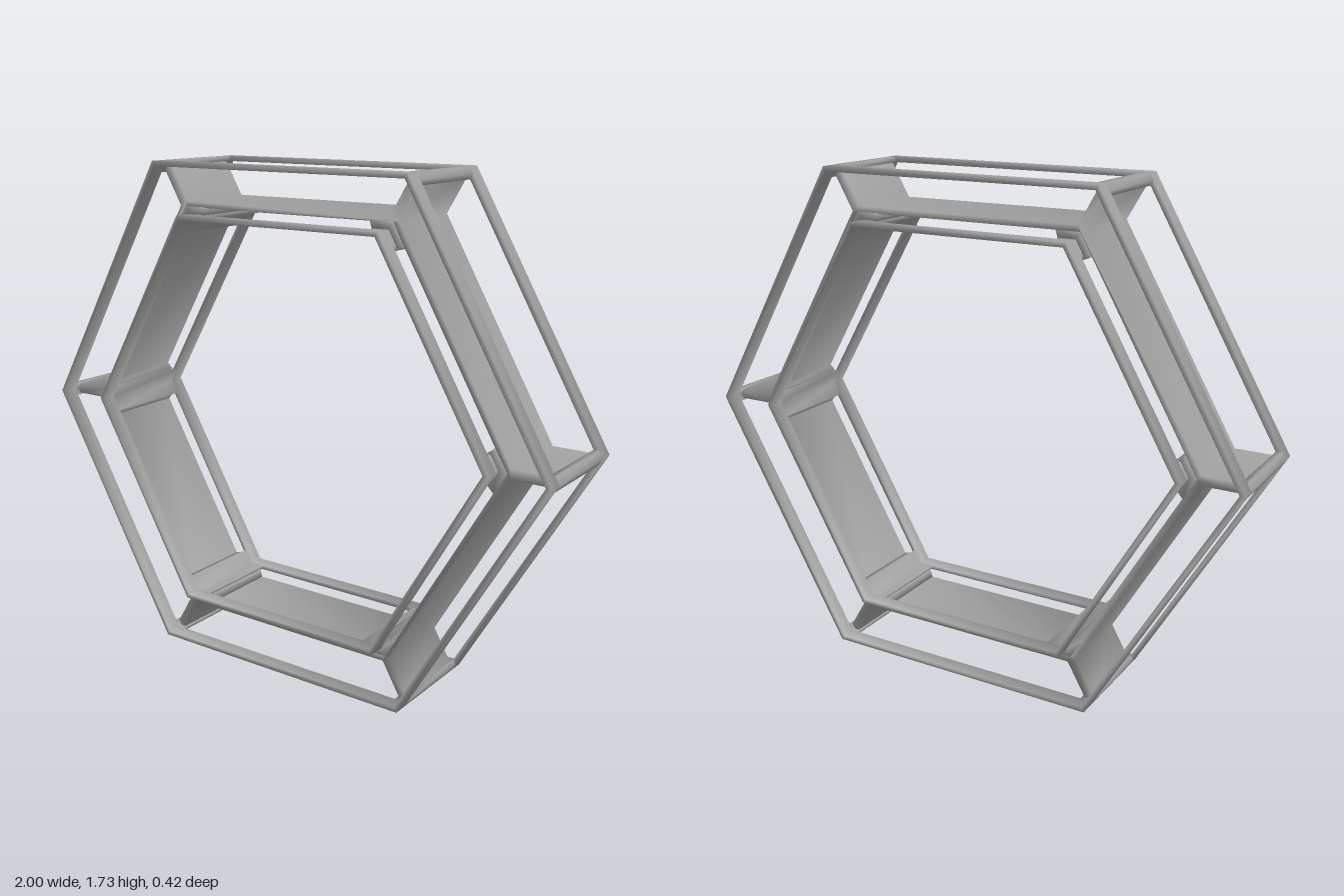
import * as THREE from 'three';
import { mergeVertices } from 'three/addons/utils/BufferGeometryUtils.js';

const C = Math.cos(Math.PI / 6);
const CY = C; // height of the hexagon's centre

// Repeats the points of one corner (pointing along +x) around all six corners
function aroundHexagon(points) {
  const result = [];
  for (let i = 0; i < 6; i++) {
    for (const [x, y] of points) {
      result.push(new THREE.Vector2(x, y).rotateAround(new THREE.Vector2(), (i * Math.PI) / 3));
    }
  }
  return result;
}

// Hexagon outline with a flat top, sized by the distance to its sides
const hexagon = (apothem) => aroundHexagon([[apothem / C, 0]]);

// Extrusion along z whose normals run smoothly over every edge
function smoothExtrude(shape, z0, z1) {
  const geometry = new THREE.ExtrudeGeometry(shape, { depth: z1 - z0, bevelEnabled: false });
  geometry.deleteAttribute('normal');
  geometry.deleteAttribute('uv');
  const merged = mergeVertices(geometry.translate(0, 0, z0), 1e-5);
  merged.computeVertexNormals();
  return merged;
}

export function createModel() {
  const model = new THREE.Group();
  const material = new THREE.MeshStandardMaterial({ color: 0x9c9c9c });

  const add = (name, geometry, angle = 0) => {
    const mesh = new THREE.Mesh(geometry, material);
    mesh.name = name;
    mesh.position.y = CY;
    mesh.rotation.z = angle;
    model.add(mesh);
  };

  // Band between an outline and a hexagonal opening
  const band = (name, outline, inner, z0, z1) => {
    const shape = new THREE.Shape(outline);
    shape.holes.push(new THREE.Path(hexagon(inner)));
    add(name, smoothExtrude(shape, z0, z1));
  };

  // V-shaped pieces wrapping each corner; lengths run along the two sides
  const cornerPieces = (name, inner, outer, innerLength, outerLength, halfDepth) => {
    const end = (apothem, length, side) =>
      new THREE.Vector2(apothem / C - length / 2, side * length * C);
    const shape = new THREE.Shape([
      end(inner, 0, 1),
      end(inner, innerLength, -1),
      end(outer, outerLength, -1),
      end(outer, 0, 1),
      end(outer, outerLength, 1),
      end(inner, innerLength, 1),
    ]);
    const geometry = smoothExtrude(shape, -halfDepth, halfDepth);
    for (let i = 0; i < 6; i++) add(name, geometry, (i * Math.PI) / 3);
  };

  // Outer and inner window frames: front and back rings joined by corner bars
  for (const [name, inner, outer, border] of [
    ['outer', C - 0.017, C, 0.027],
    ['inner', 0.674, 0.69, 0.055],
  ]) {
    band(name + 'FrontRing', hexagon(outer), inner, 0.16, 0.21);
    band(name + 'BackRing', hexagon(outer), inner, -0.21, -0.16);
    cornerPieces(name + 'CornerBar', inner, outer, border, border, 0.16);
  }

  // Panels between the frames, with radial walls out to the corners
  const half = 0.017;
  const root = 0.734 / C - half * Math.tan(Math.PI / 6);
  const outline = aroundHexagon([[root, -half], [0.983, -half], [0.983, half], [root, half]]);
  band('panelsAndCornerWalls', outline, 0.714, -0.145, 0.145);

  // Tapered posts between the panels and the inner frame
  cornerPieces('cornerPost', 0.688, 0.716, 0.06, 0.085, 0.145);

  return model;
}
